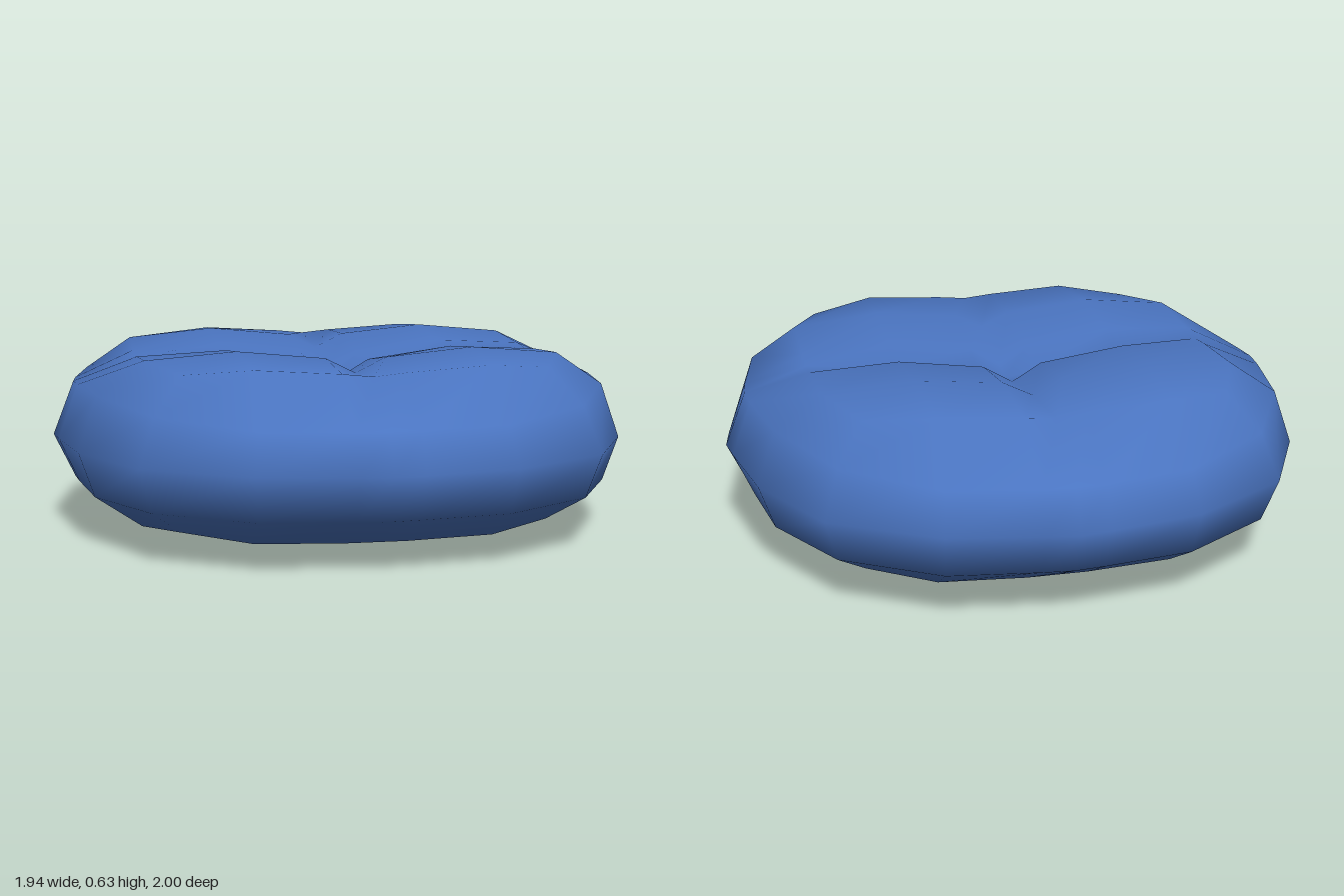
import * as THREE from 'three';
import { mergeVertices } from 'three/addons/utils/BufferGeometryUtils.js';

// Each row is one level from top rim to bottom rim; the columns run from a side's middle to its corner.
const OUT = [
  [0.69, 0.69, 0.685, 0.59],
  [0.90, 0.89, 0.84, 0.68],
  [0.97, 0.955, 0.90, 0.73],
  [0.90, 0.89, 0.85, 0.69],
  [0.72, 0.72, 0.70, 0.59],
];
const ALONG = [
  [0, 0.10, 0.37, 0.59],
  [0, 0.10, 0.385, 0.68],
  [0, 0.10, 0.40, 0.73],
  [0, 0.10, 0.39, 0.69],
  [0, 0.10, 0.38, 0.59],
];
const HEIGHT = [
  [0.575, 0.585, 0.602, 0.58],
  [0.47, 0.47, 0.47, 0.465],
  [0.315, 0.315, 0.315, 0.315],
  [0.168, 0.168, 0.168, 0.17],
  [0.06, 0.06, 0.065, 0.085],
];

// Heights inside the top and bottom patches, by distance from the two centre lines
const INNER = [0, 0.10, 0.39];
const TOP = [[0.48, 0.50, 0.55], [0.50, 0.56, 0.60], [0.55, 0.60, 0.628]];
const BOTTOM = [[0, 0.002, 0.012], [0.002, 0.003, 0.013], [0.012, 0.013, 0.025]];

// Rounds a gridded box into a puffy cushion with a cross-shaped crease on top
function cushionGeometry() {
  let geo = new THREE.BoxGeometry(2, 2, 2, 6, 4, 6);
  geo.deleteAttribute('uv');
  geo.deleteAttribute('normal');
  geo = mergeVertices(geo, 1e-3);
  const p = geo.attributes.position;
  for (let n = 0; n < p.count; n++) {
    const i = Math.round(p.getX(n) * 3), j = Math.round(p.getZ(n) * 3);
    const level = Math.round((1 - p.getY(n)) * 2);
    const a = Math.abs(i), b = Math.abs(j);
    let x, y, z;
    if (Math.max(a, b) < 3) {
      x = INNER[a];
      z = INNER[b];
      y = (level === 0 ? TOP : BOTTOM)[a][b];
    } else {
      const onX = a >= b, t = Math.min(a, b);
      const middle = level > 0 && level < 4;
      // front and back bulge a little further than the sides
      const out = OUT[level][t] * (!onX && middle ? 1.031 : 1);
      x = onX ? out : ALONG[level][t];
      z = onX ? ALONG[level][t] : out;
      y = HEIGHT[level][t];
      if (level === 1 && t < 3) y += onX ? 0.025 : -0.03;
    }
    p.setXYZ(n, Math.sign(i) * x, y, Math.sign(j) * z);
  }
  geo.computeVertexNormals();
  return geo;
}

export function createModel() {
  const group = new THREE.Group();
  group.name = 'floorCushion';
  const cushion = new THREE.Mesh(
    cushionGeometry(),
    new THREE.MeshStandardMaterial({ color: 0x4a74c0 })
  );
  cushion.name = 'cushion';
  group.add(cushion);
  return group;
}
